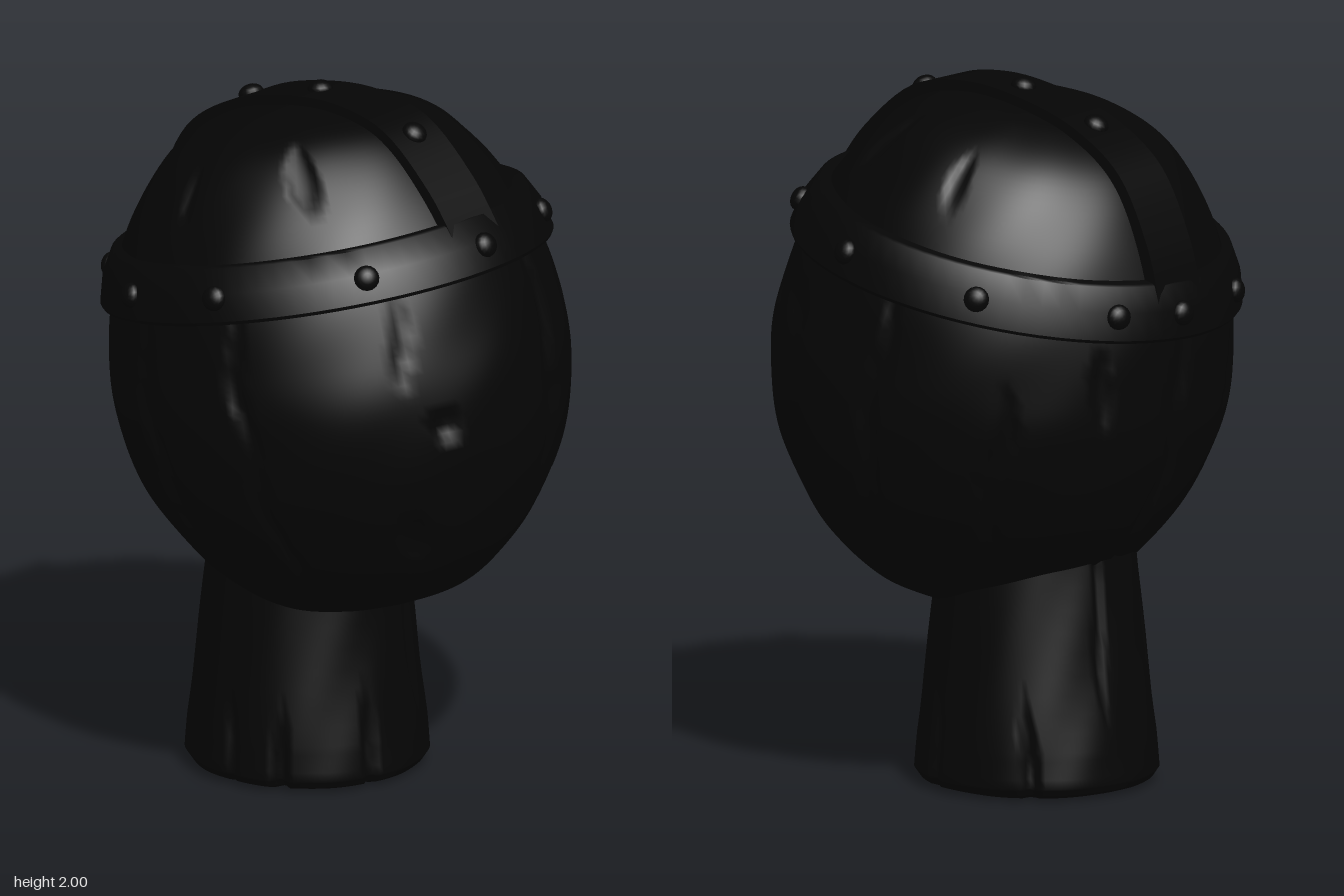
import * as THREE from 'three';
import { mergeVertices, toCreasedNormals } from 'three/addons/utils/BufferGeometryUtils.js';

const deg = Math.PI / 180;
const spline = (pts, n) => new THREE.SplineCurve(pts.map(p => new THREE.Vector2(...p))).getPoints(n);

// Smooth turned shape; each groove is [angle from +x toward +z, height, half angle, half height, depth]
function carved(points, segments, grooves) {
  let g = new THREE.LatheGeometry(points, segments);
  g.deleteAttribute('uv');
  g.deleteAttribute('normal');
  g = mergeVertices(g, 1e-4);
  const p = g.attributes.position;
  for (let i = 0; i < p.count; i++) {
    const x = p.getX(i), y = p.getY(i), z = p.getZ(i);
    const a = Math.atan2(z, x) / deg;
    let cut = 0.003 * (1 + Math.sin(a * deg * 7 + y * 5) * Math.sin(y * 11 + a * deg * 3));
    for (const [ga, gy, wa, wy, depth] of grooves) {
      const da = ((a - ga + 540) % 360) - 180 + 1.2 * Math.sin(y * 17 + ga);
      const d = (da / wa) ** 2 + ((y - gy) / wy) ** 2;
      if (d < 1) cut = Math.max(cut, depth * Math.sqrt(1 - d));
    }
    const s = Math.max(0, 1 - cut / Math.max(Math.hypot(x, z), 0.15));
    p.setXYZ(i, x * s, y, z * s);
  }
  g.computeVertexNormals();
  return g;
}

export function createModel() {
  const model = new THREE.Group();
  model.name = 'dummyHead';
  const black = new THREE.MeshStandardMaterial({ color: 0x050505 });
  black.name = 'black';
  const add = (parent, name, geometry) => {
    const m = new THREE.Mesh(geometry, black);
    m.name = name;
    parent.add(m);
    return m;
  };

  // Neck post with splits rising from the base
  const neckProfile = [[0, 0], [0.29, 0.004], [0.325, 0.015], [0.342, 0.04], [0.335, 0.14], [0.312, 0.35],
    [0.288, 0.6], [0.27, 0.8], [0, 0.82]].map(p => new THREE.Vector2(...p));
  const neckRows = [];
  neckProfile.forEach((a, i) => {
    const b = neckProfile[i + 1];
    if (!b) return neckRows.push(a);
    for (let k = 0; k < 4; k++) neckRows.push(a.clone().lerp(b, k / 4));
  });
  const neck = add(model, 'neck', carved(neckRows, 150, [
    [15, 0.1, 4, 0.16, 0.025], [60, 0.05, 4, 0.15, 0.03], [88, 0.12, 4, 0.14, 0.02], [150, 0.5, 3, 0.2, 0.015],
    [-20, 0.45, 3, 0.25, 0.015], [-70, 0.1, 4, 0.2, 0.025], [-125, 0.08, 4, 0.18, 0.025], [-165, 0.5, 3, 0.3, 0.015],
  ]));
  neck.position.x = -0.112;

  // Leaning head group
  const head = new THREE.Group();
  head.name = 'head';
  head.position.set(0.01, 1.22, 0);
  head.rotation.z = 0.2;
  model.add(head);

  // Egg-shaped skull with long cracks and small dents
  const profile = [[0, -0.722], [0.14, -0.712], [0.28, -0.675], [0.39, -0.596], [0.486, -0.49], [0.59, -0.31],
    [0.642, -0.1], [0.638, 0.08], [0.6, 0.28], [0.51, 0.475], [0.375, 0.635], [0.2, 0.71], [0, 0.73]];
  add(head, 'skull', carved(spline(profile, 100), 200, [
    [105, -0.1, 2.5, 0.42, 0.018], [73, -0.2, 2.5, 0.5, 0.018], [120, -0.4, 4, 0.14, 0.025],
    [-19, -0.05, 3, 0.36, 0.022], [30, 0.12, 2.5, 0.16, 0.015], [-42, 0, 3, 0.15, 0.02],
    [20, -0.15, 4.5, 0.05, 0.025], [-20, -0.15, 4.5, 0.05, 0.025], [30, -0.47, 6, 0.07, 0.025],
    [-40, -0.45, 6, 0.05, 0.025], [-95, -0.1, 3, 0.4, 0.022], [-130, -0.2, 3, 0.3, 0.02],
    [-155, 0.1, 3, 0.12, 0.02], [180, -0.05, 3, 0.45, 0.022], [-60, 0.1, 6, 0.06, 0.02], [150, -0.1, 2.5, 0.3, 0.02],
    [-52, 0.57, 5, 0.09, 0.025], [50, 0.57, 6, 0.09, 0.025], [95, 0.55, 3, 0.08, 0.015], [-100, 0.58, 4, 0.07, 0.015],
  ]));

  // Brow band with a slight sideways slope
  const bandGroup = new THREE.Group();
  bandGroup.name = 'browBand';
  bandGroup.position.y = 0.315;
  bandGroup.rotation.x = 0.03;
  head.add(bandGroup);
  const bandProfile = [[0.57, -0.075], [0.636, -0.075], [0.641, -0.065], [0.622, 0.01], [0.587, 0.075],
    [0.578, 0.08], [0.5, 0.08], [0.57, -0.075]].map(p => new THREE.Vector2(...p));
  add(bandGroup, 'band', toCreasedNormals(new THREE.LatheGeometry(bandProfile, 72), 0.6));

  // Crown strap following the dome
  const strapGroup = new THREE.Group();
  strapGroup.name = 'crownStrap';
  strapGroup.position.z = -0.01;
  strapGroup.rotation.y = -0.03;
  head.add(strapGroup);
  const half = [[0.606, 0.34], [0.532, 0.488], [0.391, 0.655], [0.207, 0.732], [0, 0.752]];
  const mirror = half.slice(0, -1).reverse().map(([x, y]) => [-x, y]);
  const arc = spline([...half, ...mirror], 48);
  const shape = new THREE.Shape([...arc, ...arc.slice().reverse().map(p => p.clone().multiplyScalar(0.93))]);
  const strapGeo = new THREE.ExtrudeGeometry(shape, { depth: 0.18, bevelEnabled: false });
  strapGeo.translate(0, 0, -0.09);
  add(strapGroup, 'strap', toCreasedNormals(strapGeo, 0.6));

  // Domed rivets, flattened along their outward direction
  const rivetGeo = new THREE.SphereGeometry(0.036, 16, 10);
  rivetGeo.scale(1, 0.72, 1);
  const up = new THREE.Vector3(0, 1, 0);
  const rivet = (parent, pos, dir) => {
    const m = add(parent, 'rivet', rivetGeo);
    m.position.copy(pos);
    m.quaternion.setFromUnitVectors(up, dir.normalize());
  };
  for (const a of [0, 36, 77, 108, 153, 183, 204, 242, 283, 324]) {
    const c = Math.cos(a * deg), s = Math.sin(a * deg);
    rivet(bandGroup, new THREE.Vector3(c * 0.624, 0, s * 0.624), new THREE.Vector3(c, 0.3, s));
  }
  for (const i of [11, 22, 30]) {
    const t = arc[i + 1].clone().sub(arc[i - 1]);
    rivet(strapGroup, new THREE.Vector3(arc[i].x, arc[i].y, 0), new THREE.Vector3(t.y, -t.x, 0));
  }
  return model;
}
